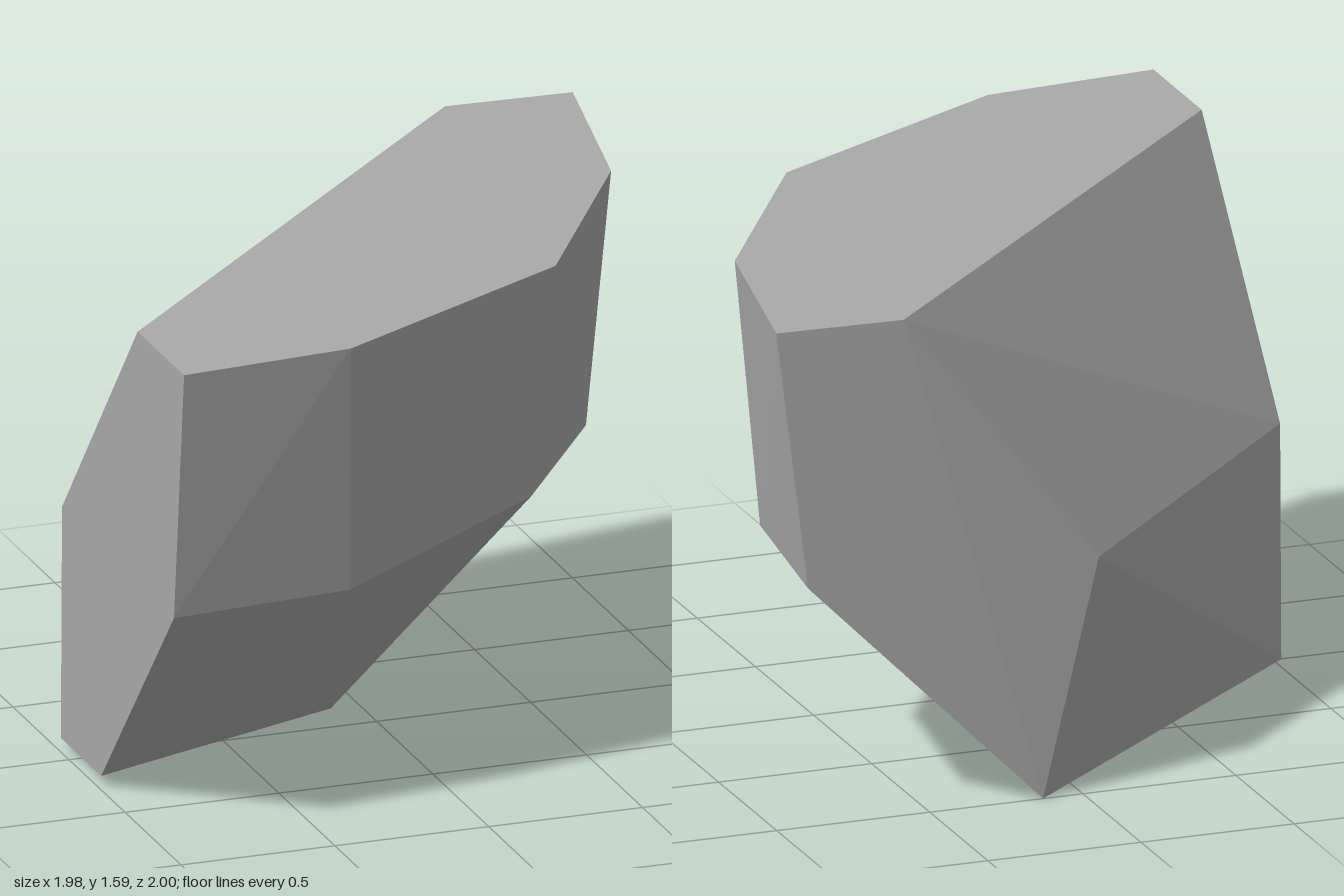
import * as THREE from 'three';

// Corners of the faceted rock
const corners = {
  // flat top rim, counter-clockwise from above
  t0: [-0.99, 1.59, 1.0], t1: [-0.43, 1.59, 0.95], t2: [0.41, 1.59, 0.47],
  t3: [0.86, 1.59, -0.27], t4: [0.99, 1.59, -0.97],
  t5: [0.58, 1.59, -0.985], t6: [-0.99, 1.59, 0.585],
  // waist below the outer rim
  w0: [-0.99, 0.77, 0.91], w1: [-0.39, 0.76, 0.83], w2: [0.36, 0.82, 0.39],
  w3: [0.8, 0.75, -0.33], w4: [0.89, 0.76, -0.98],
  // lower edge of the sloping back
  s0: [-0.06, 0.75, -0.98], s1: [-0.99, 0.79, -0.09],
  // foot
  f0: [-0.99, 0.035, 0.26], f1: [-0.12, 0.03, -0.08],
  f2: [0.13, 0, -1.0], f3: [-0.99, 0.035, -0.1],
};

// Builds a mesh from convex polygons, each fanned from its first corner
function facets(name, material, polygons) {
  const positions = [];
  for (const polygon of polygons) {
    const p = polygon.split(' ').map((key) => corners[key]);
    for (let i = 1; i < p.length - 1; i++) positions.push(...p[0], ...p[i], ...p[i + 1]);
  }
  const geometry = new THREE.BufferGeometry();
  geometry.setAttribute('position', new THREE.Float32BufferAttribute(positions, 3));
  geometry.computeVertexNormals();
  const mesh = new THREE.Mesh(geometry, material);
  mesh.name = name;
  return mesh;
}

export function createModel() {
  const stone = new THREE.MeshStandardMaterial({ color: 0xaaaaaa });
  stone.name = 'grey stone';

  const rock = new THREE.Group();
  rock.name = 'rock';

  // Upper wall between waist and rim
  const wall = [];
  for (let i = 0; i < 4; i++) wall.push(`w${i} w${i + 1} t${i + 1} t${i}`);

  rock.add(
    facets('topFace', stone, ['t0 t1 t2 t3 t4 t5 t6']),
    facets('upperWall', stone, wall),
    facets('underside', stone, [
      'f0 w1 w0', 'f0 f1 w1', 'f1 w2 w1', 'f1 w3 w2', 'f1 f2 w3', 'f2 w4 w3', 'f0 f3 f2 f1',
    ]),
    facets('backSlope', stone, ['t5 s0 s1 t6', 's0 f2 f3 s1']),
    facets('backCut', stone, ['t5 t4 w4 f2 s0']),
    facets('sideCut', stone, ['t6 s1 f3 f0 w0 t0']),
  );
  return rock;
}
